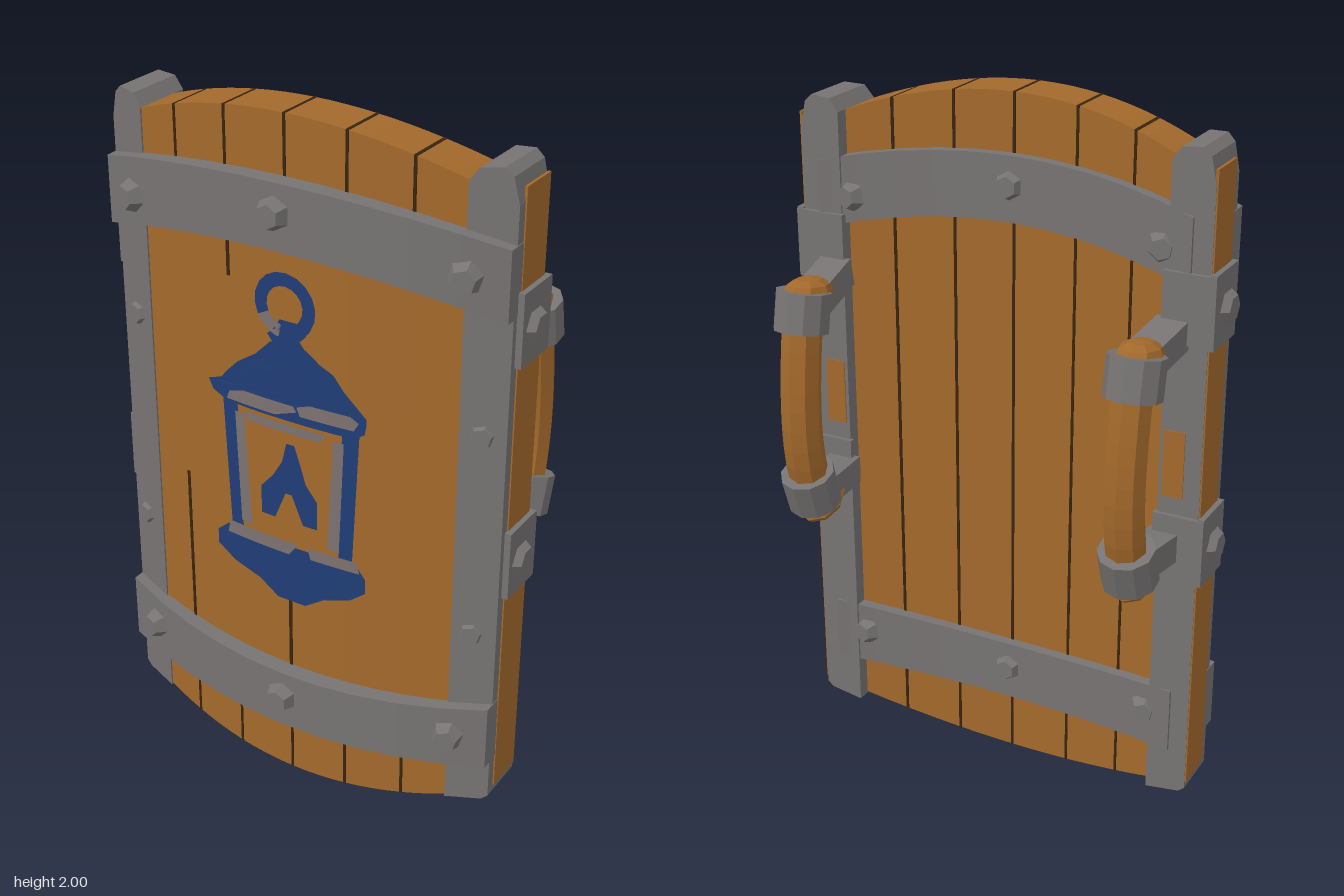
import * as THREE from 'three';

const mat = (name, color) => {
  const m = new THREE.MeshStandardMaterial({ color, flatShading: true });
  m.name = name;
  return m;
};

// Outline and curvature of the shield as functions of x
const topY = x => 2 - 0.39 * x * x;
const botY = x => 0.32 * x * x;
const frontZ = x => 0.22 - 0.24 * x * x;
const backZ = x => 0.08 - 0.24 * x * x;

// Curved slab: a unit box remapped between bounding curves
function slab(x0, x1, bot, top, back, front, n = 4) {
  const g = new THREE.BoxGeometry(1, 1, 1, n, 1, 1), p = g.attributes.position;
  const L = THREE.MathUtils.lerp;
  for (let i = 0; i < p.count; i++) {
    const x = L(x0, x1, p.getX(i) + 0.5);
    p.setXYZ(i, x, L(bot(x), top(x), p.getY(i) + 0.5), L(back(x), front(x), p.getZ(i) + 0.5));
  }
  g.computeVertexNormals();
  return g;
}

// Lay a flat geometry onto the curved front
function bend(g) {
  const p = g.attributes.position;
  for (let i = 0; i < p.count; i++) p.setZ(i, frontZ(p.getX(i)) + 0.003 + p.getZ(i));
  g.computeVertexNormals();
  return g;
}

// Painted patch from rows of [y, xLeft, xRight], top row first
function patch(rows, lift) {
  const g = new THREE.PlaneGeometry(1, 1, 6, rows.length - 1), p = g.attributes.position;
  for (let i = 0; i < p.count; i++) {
    const [y, a, b] = rows[Math.floor(i / 7)];
    p.setXYZ(i, a + (b - a) * (i % 7) / 6, y, lift);
  }
  return bend(g);
}

export function createModel() {
  const wood = mat('wood', 0xa3692b);
  const iron = mat('iron', 0x777373);
  const dark = mat('dark seam', 0x38240f);
  const blue = mat('blue paint', 0x1f3d76);
  const worn = mat('worn grey paint', 0x7c7270);

  const root = new THREE.Group();
  root.name = 'shield';
  const add = (parent, name, geo, material, pos = [0, 0, 0], rot = [0, 0, 0]) => {
    const m = new THREE.Mesh(geo, material);
    m.name = name;
    m.position.set(...pos);
    m.rotation.set(...rot);
    parent.add(m);
    return m;
  };
  // Faceted stud pointing along dir
  const rivet = (parent, pos, dir, r = 0.05, h = 0.04) => {
    const m = add(parent, 'rivet', new THREE.CylinderGeometry(r * 0.65, r, h, 6), iron, pos);
    m.quaternion.setFromUnitVectors(new THREE.Vector3(0, 1, 0), new THREE.Vector3(...dir).normalize());
  };

  // Planks
  const seams = [-0.355, -0.185, 0, 0.175, 0.35];
  const edges = [-0.49, ...seams, 0.49];
  for (let i = 0; i < 6; i++)
    add(root, 'plank', slab(edges[i], edges[i + 1], botY, topY, backZ, frontZ), wood);

  // Dark seams on the back, rims and front edges
  const back = x => backZ(x) - 0.002, front = x => frontZ(x) + 0.002;
  const seam = (x, b, t, k, f, half = 0.004) => add(root, 'seam', slab(x - half, x + half, b, t, k, f, 1), dark);
  const up = x => topY(x) + 0.001, down = x => botY(x) - 0.001;
  for (const x of seams) {
    seam(x, down, up, back, backZ);
    seam(x, x => topY(x) - 0.01, up, back, front);
    seam(x, down, x => botY(x) + 0.01, back, front);
    seam(x, () => 1.75, up, frontZ, front);
    seam(x, down, () => 0.25, frontZ, front);
  }
  // Cracks in the front boards
  for (const [x, y0, y1] of [[-0.36, 0.35, 0.88], [0, 0.35, 0.74], [-0.185, 1.53, 1.65]])
    seam(x, () => y0, () => y1, frontZ, front, 0.005);

  // Arched iron bands, front and back
  const bands = [
    { name: 'upperBand', bot: x => 1.66 - 0.25 * x * x, top: x => 1.84 - 0.22 * x * x, ys: [1.76, 1.68] },
    { name: 'lowerBand', bot: x => 0.19 + 0.09 * x * x, top: x => 0.37 + 0.14 * x * x, ys: [0.29, 0.315] },
  ];
  const bandZ = x => 0.272 - 0.29 * x * x, rearZ = x => 0.05 - 0.25 * x * x;
  for (const b of bands) {
    add(root, b.name + 'Front', slab(-0.6, 0.6, b.bot, b.top, x => bandZ(x) - 0.06, bandZ, 10), iron);
    add(root, b.name + 'Back', slab(-0.545, 0.545, b.bot, b.top, rearZ, x => backZ(x) + 0.01, 10), iron);
    for (const s of [-1, 0, 1]) {
      const y = b.ys[Math.abs(s)];
      rivet(root, [s * 0.5, y, bandZ(s * 0.5) + 0.012], [s * 0.29, 0, 1]);
      rivet(root, [s * 0.46, y, rearZ(s * 0.46) - 0.006], [s * 0.2, 0, -1], 0.045, 0.03);
    }
  }

  // Side assembly: post, straps and handle
  function buildSide(name, studs) {
    const side = new THREE.Group();
    side.name = name;
    const outline = [[0.48, 0.07], [0.58, 0.085], [0.598, 0.1], [0.598, 1.86], [0.582, 1.93], [0.56, 1.95], [0.505, 1.945], [0.48, 1.91]];
    const post = new THREE.ExtrudeGeometry(new THREE.Shape(outline.map(p => new THREE.Vector2(...p))),
      { depth: 1, bevelEnabled: false });
    const p = post.attributes.position;
    for (let i = 0; i < p.count; i++)
      p.setZ(i, p.getZ(i) > 0.5 ? 0.17 - 0.29 * (p.getX(i) - 0.48) : -0.015);
    post.computeVertexNormals();
    add(side, 'post', post, iron);
    add(side, 'postSideBoard', new THREE.BoxGeometry(0.008, 1.78, 0.12), wood, [0.598, 1.01, 0.047]);
    add(side, 'barePatch', new THREE.BoxGeometry(0.06, 0.19, 0.004), wood, [0.52, 1.1, -0.016]);
    for (const [x, y] of studs) rivet(side, [x, y, 0.165 - 0.29 * (x - 0.48)], [0.29, 0, 1], 0.042, 0.035);

    // Straps round the post, with an arm and a collar for the grip
    for (const [y, armY, collarY, tilt] of [[1.535, 1.455, 1.415, 0.2], [0.86, 0.87, 0.89, -0.32]]) {
      add(side, 'strapSide', new THREE.BoxGeometry(0.018, 0.2, 0.145), iron, [0.608, y, 0.048]);
      add(side, 'strapBack', new THREE.BoxGeometry(0.145, 0.19, 0.018), iron, [0.5445, y, -0.018]);
      rivet(side, [0.623, y - 0.005, 0.055], [1, 0, 0], 0.055, 0.03);
      add(side, 'arm', new THREE.BoxGeometry(0.09, 0.08, 0.16), iron, [0.492, armY - 0.005, -0.09],
        [tilt > 0 ? -0.2 : 0.05, 0.12, 0]);
      const r = 0.077, h = 0.055, inner = 0.05;
      const ring = [[inner, -h], [r, -h], [r, h], [inner, h], [inner, -h]].map(q => new THREE.Vector2(...q));
      add(side, 'collar', new THREE.LatheGeometry(ring, 10), iron, [0.487, collarY, -0.213], [tilt, 0, 0]);
    }

    // Bowed wooden grip with blunt ends
    const path = [[1.465, -0.185], [1.4, -0.213], [1.27, -0.235], [1.1, -0.246], [0.97, -0.234], [0.88, -0.205], [0.83, -0.17]]
      .map(([y, z]) => new THREE.Vector3(0.485, y, z));
    add(side, 'grip', new THREE.TubeGeometry(new THREE.CatmullRomCurve3(path), 12, 0.056, 8), wood);
    for (const [y, z, t] of [[1.465, -0.18, 0.12], [0.825, -0.165, -0.4]])
      add(side, 'gripEnd', new THREE.SphereGeometry(0.064, 8, 6), wood, [0.485, y, z], [t, 0, 0]).scale.set(0.95, 0.55, 1.28);
    root.add(side);
    return side;
  }
  buildSide('leftSide', [[0.535, 1.24], [0.53, 0.64]]);
  buildSide('rightSide', [[0.54, 1.31], [0.55, 0.66]]).scale.x = -1;

  // Painted lantern: worn strokes lie just over the blue
  const lantern = new THREE.Group();
  lantern.name = 'paintedLantern';
  root.add(lantern);
  const paint = (name, material, rows) => add(lantern, name, patch(rows, material === blue ? 0 : 0.003), material);
  const arc = (material, start, len) => add(lantern, 'hangingRing',
    bend(new THREE.RingGeometry(0.055, 0.093, 12, 1, start, len).translate(-0.005, 1.49, 0)), material);
  arc(blue, -0.6, 4.2);
  arc(worn, 3.6, 0.9);
  arc(blue, 4.5, Math.PI * 2 - 5.1);

  paint('neck', blue, [[1.45, -0.02, 0.03], [1.42, -0.04, 0.06], [1.4, -0.06, 0.04], [1.375, -0.04, 0.06]]);
  paint('roof', blue, [[1.38, -0.05, 0.06], [1.35, -0.08, 0.1], [1.33, -0.1, 0.14], [1.29, -0.16, 0.17],
    [1.25, -0.2, 0.21], [1.225, -0.22, 0.235], [1.21, -0.265, 0.235], [1.18, -0.25, 0.23], [1.16, -0.2, 0.2]]);
  paint('eaveStroke', worn, [[1.225, 0.07, 0.19], [1.21, 0.03, 0.215], [1.185, 0.04, 0.2]]);
  paint('eaveStroke', worn, [[1.21, -0.14, 0.02], [1.195, -0.19, 0.03], [1.17, -0.2, -0.04]]);
  for (const s of [-1, 1]) {
    const bar = (name, m, y0, y1, a, b, c, d) => paint(name, m,
      [[y0, Math.min(s * a, s * b), Math.max(s * a, s * b)], [y1, Math.min(s * c, s * d), Math.max(s * c, s * d)]]);
    bar('pillar', blue, 1.17, 0.76, 0.165, 0.215, 0.155, 0.195);
    bar('pillarStroke', worn, 1.14, 0.8, 0.14, 0.172, 0.122, 0.158);
    bar('flameFoot', blue, 0.935, 0.85, 0.01, 0.09, 0.045, 0.09);
  }
  paint('windowStroke', worn, [[1.15, -0.14, 0.12], [1.125, -0.13, 0.1]]);
  paint('flame', blue, [[1.09, -0.005, 0.02], [1.03, -0.02, 0.04], [0.98, -0.05, 0.055], [0.935, -0.09, 0.09]]);
  paint('sillStroke', worn, [[0.785, -0.2, 0.03], [0.745, -0.21, 0.0]]);
  paint('sillStroke', worn, [[0.785, 0.06, 0.21], [0.75, 0.07, 0.22]]);
  paint('base', blue, [[0.77, -0.21, 0.21], [0.735, -0.25, 0.235], [0.69, -0.25, 0.235], [0.655, -0.19, 0.19],
    [0.63, -0.1, 0.11], [0.59, -0.04, 0.05]]);
  return root;
}
